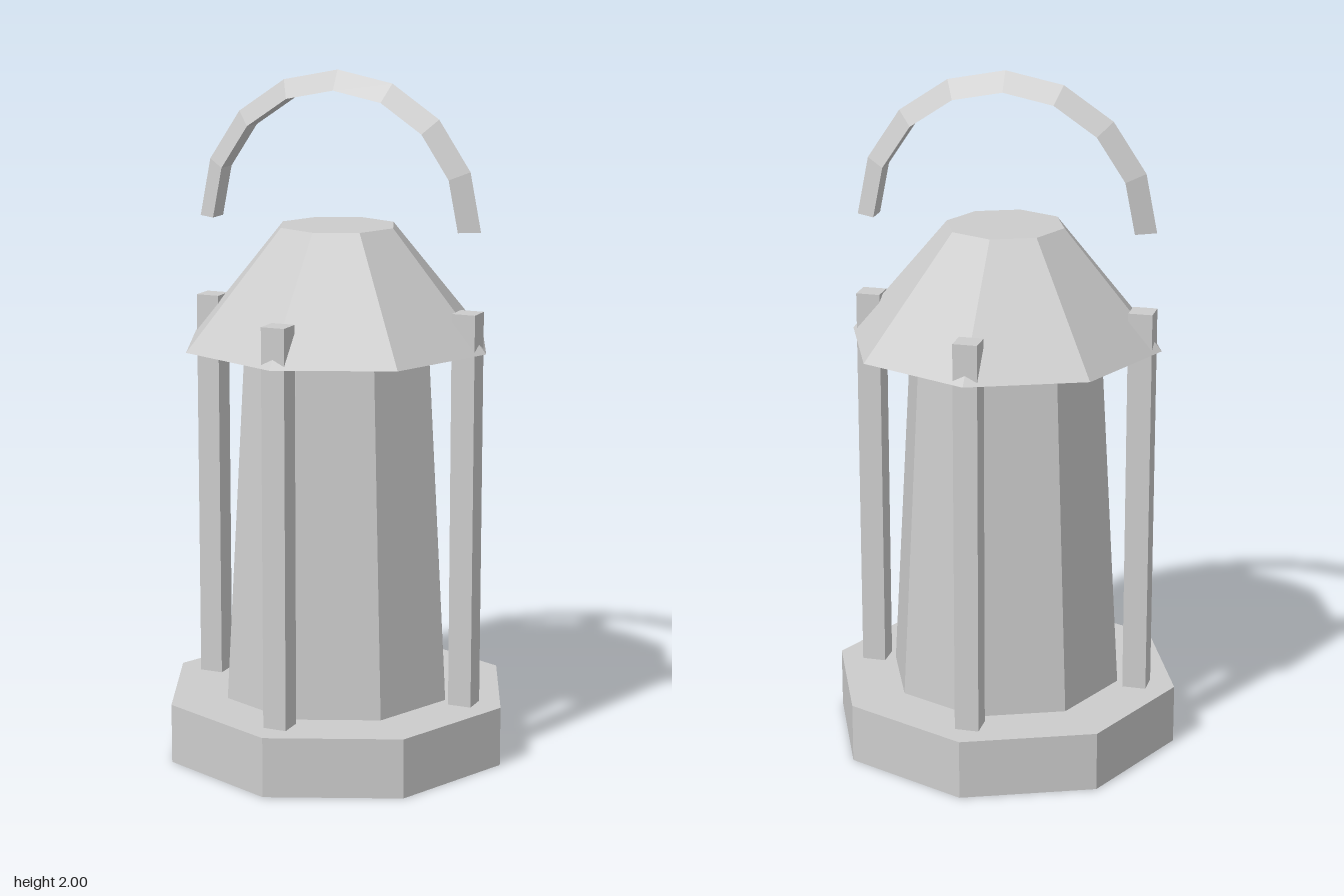
import * as THREE from 'three';

export function createModel() {
  const model = new THREE.Group();
  model.name = 'lantern';
  const grey = new THREE.MeshStandardMaterial({ color: 0xcccccc, flatShading: true });
  grey.name = 'light grey';

  const add = (name, geometry, x = 0, y = 0, z = 0, parent = model) => {
    const mesh = new THREE.Mesh(geometry, grey);
    mesh.name = name;
    mesh.position.set(x, y, z);
    parent.add(mesh);
    return mesh;
  };

  // Octagonal tier between two heights
  const tier = (name, rTop, rBottom, y0, y1) =>
    add(name, new THREE.CylinderGeometry(rTop, rBottom, y1 - y0, 8), 0, (y0 + y1) / 2, 0);

  tier('base', 0.518, 0.518, 0, 0.175);
  tier('lampBody', 0.285, 0.345, 0.175, 1.215);
  tier('roof', 0.173, 0.46, 1.215, 1.557);

  // Four square posts passing up through the roof corners
  const postHeight = 1.155;
  for (let i = 0; i < 4; i++) {
    const a = (i * Math.PI) / 2;
    add('post', new THREE.BoxGeometry(0.07, postHeight, 0.07),
      0.403 * Math.sin(a), 0.175 + postHeight / 2, 0.403 * Math.cos(a));
  }

  // Arched carrying handle with a triangular section
  const handle = new THREE.Group();
  handle.name = 'handle';
  handle.position.y = 1.56;
  model.add(handle);
  const radius = 0.402, tube = 0.038;
  add('handleArch', new THREE.TorusGeometry(radius, tube, 3, 8, Math.PI), 0, 0, 0, handle);

  // Closed ends of the handle
  for (const side of [1, -1]) {
    const cap = new THREE.CircleGeometry(tube, 3);
    if (side < 0) cap.rotateZ(Math.PI);
    cap.rotateX(Math.PI / 2);
    add('handleEnd', cap, side * radius, 0, 0, handle);
  }
  return model;
}
